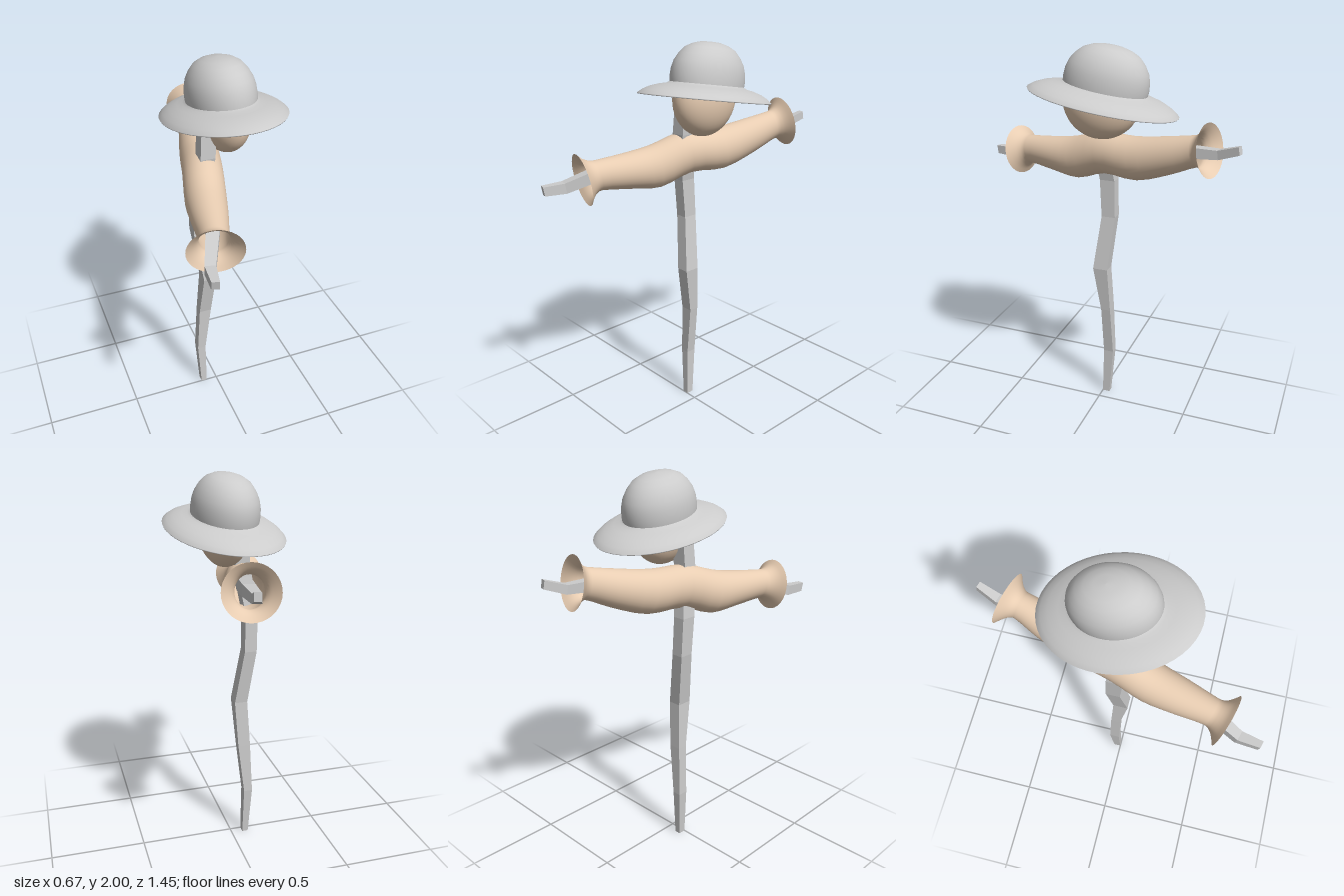
import * as THREE from 'three';

const V = (x, y, z) => new THREE.Vector3(x, y, z);
const grey = new THREE.MeshStandardMaterial({ color: 0xcccccc, side: THREE.DoubleSide });
const wood = new THREE.MeshStandardMaterial({ color: 0xcccccc, flatShading: true });
const cloth = new THREE.MeshStandardMaterial({ color: 0xe8cdb2, side: THREE.DoubleSide });

// Skin rings [x, y, z, radiusU, radiusV] that lie in the plane of u and v
function loft(rings, u, v, sides, phase, capped) {
  const pos = [], index = [];
  for (const [x, y, z, ru, rv] of rings) {
    for (let j = 0; j < sides; j++) {
      const a = phase + (j / sides) * Math.PI * 2;
      const p = V(x, y, z).addScaledVector(u, Math.cos(a) * ru).addScaledVector(v, Math.sin(a) * rv);
      pos.push(p.x, p.y, p.z);
    }
  }
  for (let i = 0; i < rings.length - 1; i++) {
    for (let j = 0; j < sides; j++) {
      const a = i * sides + j, b = i * sides + ((j + 1) % sides);
      index.push(a, b, a + sides, b, b + sides, a + sides);
    }
  }
  if (capped) {
    const top = (rings.length - 1) * sides;
    for (let j = 1; j < sides - 1; j++) {
      index.push(0, j + 1, j, top, top + j, top + j + 1);
    }
  }
  const geo = new THREE.BufferGeometry();
  geo.setAttribute('position', new THREE.Float32BufferAttribute(pos, 3));
  geo.setIndex(index);
  geo.computeVertexNormals();
  return geo;
}

// Four-sided crooked stick from [x, y, z, halfU, halfV]
function stick(rings, u, v) {
  const square = rings.map(([x, y, z, a, b]) => [x, y, z, a * Math.SQRT2, b * Math.SQRT2]);
  return loft(square, u, v, 4, Math.PI / 4, true);
}

// Smooth in-between rings
function smooth(rings, steps) {
  const path = new THREE.CatmullRomCurve3(rings.map(r => V(r[0], r[1], r[2])), false, 'centripetal');
  const size = new THREE.CatmullRomCurve3(rings.map((r, i) => V(r[3], r[4], i)), false, 'centripetal');
  const out = [];
  const n = (rings.length - 1) * steps;
  for (let i = 0; i <= n; i++) {
    const p = path.getPoint(i / n), s = size.getPoint(i / n);
    out.push([p.x, p.y, p.z, s.x, s.y]);
  }
  return out;
}

export function createModel() {
  const model = new THREE.Group();
  model.name = 'scarecrow';
  const add = (name, geo, mat, parent = model) => {
    const mesh = new THREE.Mesh(geo, mat);
    mesh.name = name;
    parent.add(mesh);
    return mesh;
  };

  // Upright pole
  add('pole', stick([
    [-0.077, 0.01, -0.02, 0.02, 0.016],
    [-0.087, 0.28, -0.032, 0.027, 0.023],
    [-0.065, 0.56, -0.025, 0.026, 0.033],
    [-0.05, 0.81, 0.002, 0.04, 0.034],
    [-0.093, 1.1, -0.027, 0.037, 0.032],
    [-0.098, 1.3, -0.018, 0.04, 0.032],
    [-0.062, 1.55, 0.02, 0.037, 0.038],
    [-0.05, 1.79, 0.01, 0.034, 0.036],
  ], V(0, 0, 1), V(1, 0, 0)), wood);

  // Directions shared by the crossbar and sleeves, running front to back
  const along = V(0.26, 0.17, -0.96).normalize();
  const u = V(0.965, 0, 0.26).normalize();
  const v = along.clone().cross(u).normalize();

  // Crooked crossbar, its ends showing as hands
  add('crossbar', stick([
    [-0.277, 1.345, 0.718, 0.018, 0.023],
    [-0.26, 1.345, 0.61, 0.025, 0.026],
    [-0.18, 1.41, 0.43, 0.032, 0.03],
    [-0.07, 1.45, 0, 0.035, 0.035],
    [0.045, 1.53, -0.45, 0.03, 0.028],
    [0.062, 1.535, -0.62, 0.023, 0.022],
    [0.092, 1.57, -0.72, 0.016, 0.02],
  ], u, v), wood);

  // Shirt sleeves with flared cuffs
  add('sleeves', loft(smooth([
    [-0.208, 1.378, 0.54, 0.132, 0.13],
    [-0.202, 1.383, 0.52, 0.103, 0.103],
    [-0.196, 1.388, 0.497, 0.08, 0.085],
    [-0.187, 1.392, 0.465, 0.069, 0.076],
    [-0.15, 1.392, 0.31, 0.088, 0.092],
    [-0.115, 1.397, 0.165, 0.1, 0.11],
    [-0.07, 1.45, 0.0, 0.1, 0.108],
    [-0.02, 1.45, -0.19, 0.1, 0.11],
    [0.025, 1.497, -0.38, 0.085, 0.092],
    [0.058, 1.537, -0.505, 0.067, 0.076],
    [0.064, 1.542, -0.535, 0.08, 0.085],
    [0.067, 1.546, -0.556, 0.103, 0.103],
    [0.072, 1.55, -0.576, 0.132, 0.13],
  ], 3), u, v, 36, 0, false), cloth);

  // Head
  const head = add('head', new THREE.SphereGeometry(1, 36, 24), cloth);
  head.scale.set(0.119, 0.19, 0.194);
  head.position.set(0.043, 1.74, -0.028);
  head.rotation.y = 0.1;

  // Tilted oval hat
  const hat = new THREE.Group();
  hat.name = 'hat';
  hat.position.set(0.045, 1.735, -0.035);
  hat.rotation.set(-0.175, 0.1, 0.035, 'YXZ');
  model.add(hat);
  const turn = (points) => {
    const geo = new THREE.LatheGeometry(points.map(p => new THREE.Vector2(p[0], p[1])), 48);
    return geo.scale(0.77, 1, 1);
  };
  add('crown', turn([
    [0.209, 0.062], [0.211, 0.09], [0.207, 0.13], [0.195, 0.168], [0.172, 0.203],
    [0.14, 0.235], [0.1, 0.254], [0.055, 0.265], [0, 0.268],
  ]), grey, hat);
  add('brim', turn([
    [0.208, 0.045], [0.26, 0.034], [0.32, 0.016], [0.374, -0.004], [0.377, 0.001],
    [0.35, 0.02], [0.311, 0.038], [0.26, 0.052], [0.225, 0.058], [0.209, 0.066],
  ]), grey, hat);

  return model;
}
